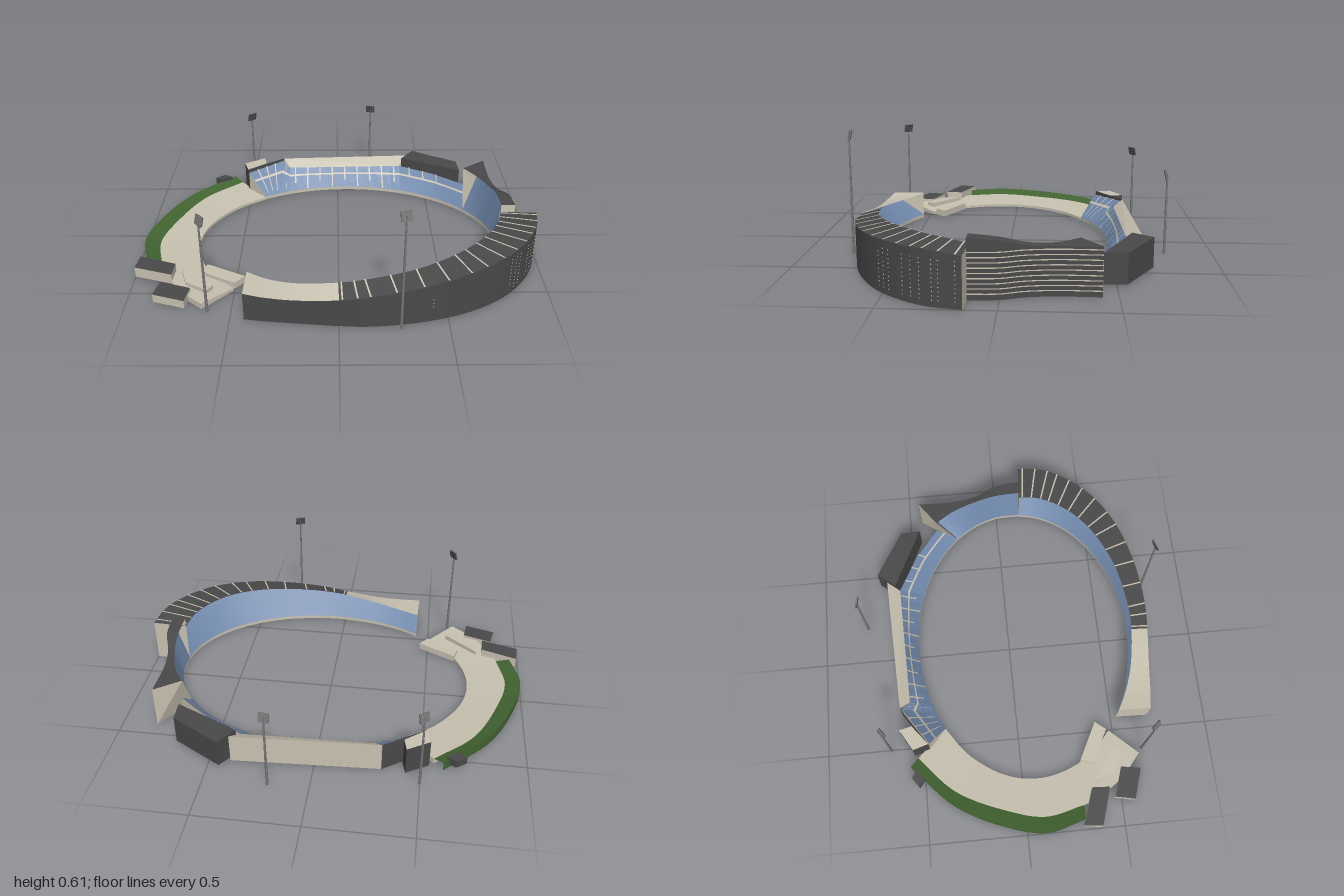
import * as THREE from 'three';
import { mergeGeometries } from 'three/addons/utils/BufferGeometryUtils.js';

const V = (x, y, z) => new THREE.Vector3(x, y, z);
const mat = (name, color) => Object.assign(new THREE.MeshStandardMaterial({ color, side: THREE.DoubleSide }), { name });

// point on the edge of the oval field, angle in degrees
const field = (deg, y) => {
  const a = THREE.MathUtils.degToRad(deg);
  return V(0.05 + 0.77 * Math.cos(a), y, 0.08 + 0.575 * Math.sin(a));
};

// piecewise linear value of column k of a table
const column = (rows, k, u) => {
  const f = u * (rows.length - 1), i = Math.min(Math.floor(f), rows.length - 2);
  return THREE.MathUtils.lerp(rows[i][k], rows[i + 1][k], f - i);
};

// rows of [x, y, z] sampled as a smooth curve or as a polyline
const smooth = (rows, n) => {
  const c = new THREE.CatmullRomCurve3(rows.map(r => V(...r)));
  return Array.from({ length: n + 1 }, (_, i) => c.getPoint(i / n));
};
const straight = (rows, n) => Array.from({ length: n + 1 }, (_, i) =>
  V(column(rows, 0, i / n), column(rows, 1, i / n), column(rows, 2, i / n)));
const atHeight = (pts, y) => pts.map(p => V(p.x, y, p.z));
const raise = (pts, d) => pts.map(p => V(p.x, p.y + d, p.z));

// surface between two rows of points
function ribbonGeometry(a, b, flat) {
  const n = a.length, idx = [];
  for (let i = 0; i < n - 1; i++) idx.push(i, i + 1, n + i, i + 1, n + i + 1, n + i);
  let g = new THREE.BufferGeometry().setFromPoints([...a, ...b]);
  g.setIndex(idx);
  if (flat) g = g.toNonIndexed();
  g.computeVertexNormals();
  return g;
}

export function createModel() {
  const root = new THREE.Group();
  root.name = 'stadium';
  const beige = mat('concrete', 0xc8c2b1), dark = mat('charcoal', 0x4a4949), blue = mat('seat blue', 0x7088ab);
  const green = mat('grass', 0x426431), grey = mat('steel', 0x777777);

  const add = (parent, name, geo, m) => {
    const mesh = new THREE.Mesh(geo, m);
    mesh.name = name;
    parent.add(mesh);
    return mesh;
  };
  const ribbon = (parent, name, a, b, m, flat) => add(parent, name, ribbonGeometry(a, b, flat), m);
  const group = name => {
    const g = new THREE.Group();
    g.name = name;
    root.add(g);
    return g;
  };
  // upright block on a plan of [x, z] corners
  const block = (name, plan, y0, y1, top, sides) => {
    const s = new THREE.Shape(plan.map(([x, z]) => new THREE.Vector2(x, -z)));
    const g = new THREE.ExtrudeGeometry(s, { depth: y1 - y0, bevelEnabled: false }).rotateX(-Math.PI / 2);
    g.translate(0, y0, 0);
    return add(root, name, g, [top, sides]);
  };

  // covered stand: outer wall, roof, raked seats and end walls
  function coveredStand(name, edge, outer, eave, roofs) {
    const g = group(name), n = outer.length - 1;
    const base = atHeight(outer, 0), front = atHeight(edge, 0.018);
    ribbon(g, 'outerWall', base, outer, dark);
    ribbon(g, 'seats', front, raise(outer, -0.012), blue);
    ribbon(g, 'curb', atHeight(edge, 0), front, beige);
    for (const [from, to, m] of roofs) ribbon(g, 'roof', eave.slice(from, to + 1), outer.slice(from, to + 1), m);
    for (const i of [0, n]) ribbon(g, 'endWall', [atHeight(edge, 0)[i], base[i]], [eave[i], outer[i]], beige, true);
    return g;
  }

  // main stand: x, z, outer height, eave height, field angle
  const main = [
    [1, 0.14, 0.225, 0.225, 5], [0.97, 0.28, 0.24, 0.24, 15], [0.9, 0.41, 0.24, 0.245, 26],
    [0.78, 0.54, 0.235, 0.245, 38], [0.6, 0.65, 0.22, 0.235, 51], [0.38, 0.72, 0.195, 0.215, 67],
    [0.14, 0.75, 0.165, 0.19, 85], [0, 0.745, 0.145, 0.175, 94], [-0.2, 0.725, 0.13, 0.15, 109],
    [-0.34, 0.71, 0.135, 0.142, 120], [-0.435, 0.695, 0.145, 0.147, 128.6]];
  const N = 100;
  const mainOuter = smooth(main.map(r => [r[0], r[2], r[1]]), N);
  const mainEave = smooth(main.map(r => field(r[4], r[3]).toArray()), N);
  const mainStand = coveredStand('mainStand', mainEave, mainOuter, mainEave, [[0, 70, dark], [70, N, beige]]);

  // roof ribs
  for (let i = 0; i < 15; i++) {
    const k = Math.round(2 + i * 4.8), a = mainEave[k], b = mainOuter[k];
    const side = V(b.x - a.x, 0, b.z - a.z).normalize().cross(V(0, 1, 0)).multiplyScalar(0.004);
    const pair = s => [a, b].map(p => p.clone().addScaledVector(side, s).add(V(0, 0.003, 0)));
    ribbon(mainStand, 'roofRib', pair(-1), pair(1), beige, true);
  }
  // small wall windows
  const panes = [];
  for (const k of [2, 7, 9, 13, 16, 19, 24, 26, 28, 48, 54]) {
    const p = mainOuter[k], d = mainOuter[k + 1].clone().sub(mainOuter[k - 1]);
    const rows = k < 30 ? 10 : 3;
    for (let j = 0; j < rows; j++) {
      const pane = new THREE.BoxGeometry(0.004, 0.004, 0.004);
      pane.rotateY(Math.atan2(d.x, d.z));
      panes.push(pane.translate(p.x, (k < 30 ? 0.03 : 0.08) + j * 0.019, p.z));
    }
  }
  add(mainStand, 'wallWindows', mergeGeometries(panes), beige);

  // side stand: outer x, z, eave x, z, height, field angle
  const side = [
    [0.89, 0.135, 0.82, 0.135, 0.268, 5], [0.88, 0, 0.82, 0, 0.255, -7], [0.845, -0.1, 0.805, -0.12, 0.23, -17],
    [0.825, -0.23, 0.765, -0.24, 0.22, -25], [0.825, -0.43, 0.7, -0.34, 0.222, -33]];
  const sideOuter = smooth(side.map(r => [r[0], r[4], r[1]]), 32);
  const sideEave = smooth(side.map(r => [r[2], r[4], r[3]]), 32);
  const sideEdge = smooth(side.map(r => field(r[5], 0).toArray()), 32);
  const sideStand = coveredStand('sideStand', sideEdge, sideOuter, sideEave, [[0, 32, dark]]);
  for (let i = 0; i < 9; i++) {
    const y = 0.025 + i * 0.0225;
    const line = sideOuter.map(p => V(p.x + 0.003, y, p.z));
    ribbon(sideStand, 'wallStripe', line, raise(line, 0.005), beige);
  }

  // open back stand: seat top x, y, z, field angle
  const back = [
    [-0.51, 0.13, -0.46, -127], [-0.32, 0.14, -0.59, -119], [-0.28, 0.115, -0.55, -115],
    [0.36, 0.115, -0.57, -66], [0.55, 0.115, -0.47, -50], [0.71, 0.115, -0.345, -33]];
  const M = 60, backStand = group('backStand');
  const backTop = straight(back, M);
  const backEdge = backTop.map((_, i) => field(column(back, 3, i / M), 0.018));
  const across = f => backTop.map((p, i) => backEdge[i].clone().lerp(p, f));
  ribbon(backStand, 'seats', backEdge, backTop, blue, true);
  ribbon(backStand, 'rearWall', atHeight(backTop, 0), backTop, beige, true);
  ribbon(backStand, 'curb', atHeight(backEdge, 0), backEdge, beige);
  ribbon(backStand, 'walkway', raise(across(0.6), 0.004), raise(across(0.68), 0.004), beige, true);
  // aisles, closer together in index space where the stand is long and straight
  const aisle = (u, f0, f1) => {
    const at = (v, f) => field(column(back, 3, v), 0.018)
      .lerp(V(column(back, 0, v), column(back, 1, v), column(back, 2, v)), f).add(V(0, 0.004, 0));
    const w = u > 0.4 && u < 0.6 ? 0.0012 : 0.0035;
    ribbon(backStand, 'aisle', [at(u - w, f0), at(u - w, f1)], [at(u + w, f0), at(u + w, f1)], beige, true);
  };
  for (const u of [0.05, 0.1, 0.15, 0.3]) aisle(u, 0.1, 1);
  for (let i = 0; i < 9; i++) aisle(0.41 + i * 0.0225, i % 2 ? 0 : 0.3, 1);
  for (const u of [0.66, 0.74, 0.82]) aisle(u, 0.6, 1);

  // sloping roof and wall behind the back stand
  const ridge = [V(-0.315, 0.15, -0.6), V(0.4, 0.15, -0.635)];
  ribbon(backStand, 'roof', [V(-0.28, 0.115, -0.55), V(0.36, 0.115, -0.57)], ridge, beige, true);
  ribbon(backStand, 'backWall', atHeight(ridge, 0), ridge, beige, true);
  const corner = [V(-0.515, 0.15, -0.465), V(-0.318, 0.15, -0.6)];
  ribbon(backStand, 'cornerWall', atHeight(corner, 0), corner, dark, true);
  const endTop = [V(-0.51, 0.13, -0.46), backEdge[0]];
  ribbon(backStand, 'endWall', atHeight(endTop, 0), endTop, beige, true);

  // buildings around the stands
  block('cornerBuilding', [[-0.54, -0.545], [-0.43, -0.61], [-0.415, -0.545], [-0.515, -0.465]], 0, 0.147, beige, dark);
  block('backBuilding', [[0.445, -0.685], [0.69, -0.545], [0.695, -0.44], [0.375, -0.59]], 0.01, 0.155, dark, dark);
  block('largeKiosk', [[-0.985, 0.285], [-0.8, 0.35], [-0.805, 0.44], [-0.995, 0.38]], 0.012, 0.066, dark, beige);
  block('smallKiosk', [[-0.855, 0.465], [-0.705, 0.515], [-0.72, 0.615], [-0.875, 0.565]], 0, 0.043, dark, beige);
  block('lawnKiosk', [[-0.715, -0.53], [-0.665, -0.565], [-0.62, -0.54], [-0.675, -0.5]], 0.02, 0.06, dark, dark);
  block('terraceBlock', [[-0.65, 0.31], [-0.455, 0.41], [-0.5, 0.465], [-0.67, 0.375]], 0, 0.035, beige, beige);
  block('terraceRamp', [[-0.77, 0.355], [-0.6, 0.495], [-0.625, 0.535], [-0.735, 0.47]], 0, 0.045, beige, beige);

  // low terrace: outer x, z, field angle
  const terrace = [
    [-0.56, -0.53, -127], [-0.75, -0.35, -143], [-0.87, -0.1, -164], [-0.92, 0.1, -182],
    [-0.88, 0.3, -200], [-0.77, 0.5, -215], [-0.64, 0.62, -224]];
  const tGroup = group('terrace');
  const tOuter = smooth(terrace.map(r => [r[0], 0.03, r[1]]), 48);
  const tInner = smooth(terrace.map(r => field(r[2], 0.015).toArray()), 48);
  ribbon(tGroup, 'deck', tInner, tOuter, beige);
  ribbon(tGroup, 'underside', atHeight(tInner, 0), atHeight(tOuter, 0), beige);
  ribbon(tGroup, 'innerCurb', atHeight(tInner, 0), tInner, beige);
  ribbon(tGroup, 'outerCurb', atHeight(tOuter, 0), tOuter, beige);
  for (const i of [0, 48]) {
    const e = [tInner[i], tOuter[i]];
    ribbon(tGroup, 'deckEnd', atHeight(e, 0), e, beige, true);
  }

  // grass bank behind the terrace
  const bank = group('grassBank');
  const gInner = smooth(terrace.slice(0, 5).map(r => [r[0], 0.03, r[1]]), 40);
  const gOuter = smooth([[-0.605, 0.048, -0.57], [-0.82, 0.048, -0.36], [-0.945, 0.048, -0.12],
    [-0.998, 0.048, 0.1], [-0.95, 0.048, 0.3]], 40);
  ribbon(bank, 'slope', gInner, gOuter, green);
  ribbon(bank, 'outerFace', atHeight(gOuter, 0), gOuter, green);

  // floodlights turned to the middle of the field
  for (const [x, z, h] of [[-0.61, 0.64, 0.52], [-0.5, -0.67, 0.415], [0.195, -0.768, 0.42], [0.28, 0.76, 0.615]]) {
    const g = group('floodlight');
    g.position.set(x, 0, z);
    g.rotation.y = Math.atan2(0.05 - x, 0.08 - z);
    add(g, 'pole', new THREE.CylinderGeometry(0.004, 0.007, h - 0.02, 10), grey).position.y = (h - 0.02) / 2;
    const head = new THREE.Group();
    head.name = 'lampHead';
    head.position.set(0, h - 0.024, 0.003);
    head.rotation.x = 0.25;
    g.add(head);
    add(head, 'panel', new THREE.BoxGeometry(0.05, 0.046, 0.006), grey);
    for (let i = 0; i < 12; i++) {
      add(head, 'lamp', new THREE.BoxGeometry(0.0105, 0.012, 0.006), dark)
        .position.set(((i % 4) - 1.5) * 0.0122, (Math.floor(i / 4) - 1) * 0.015, 0.005);
    }
  }
  return root;
}
